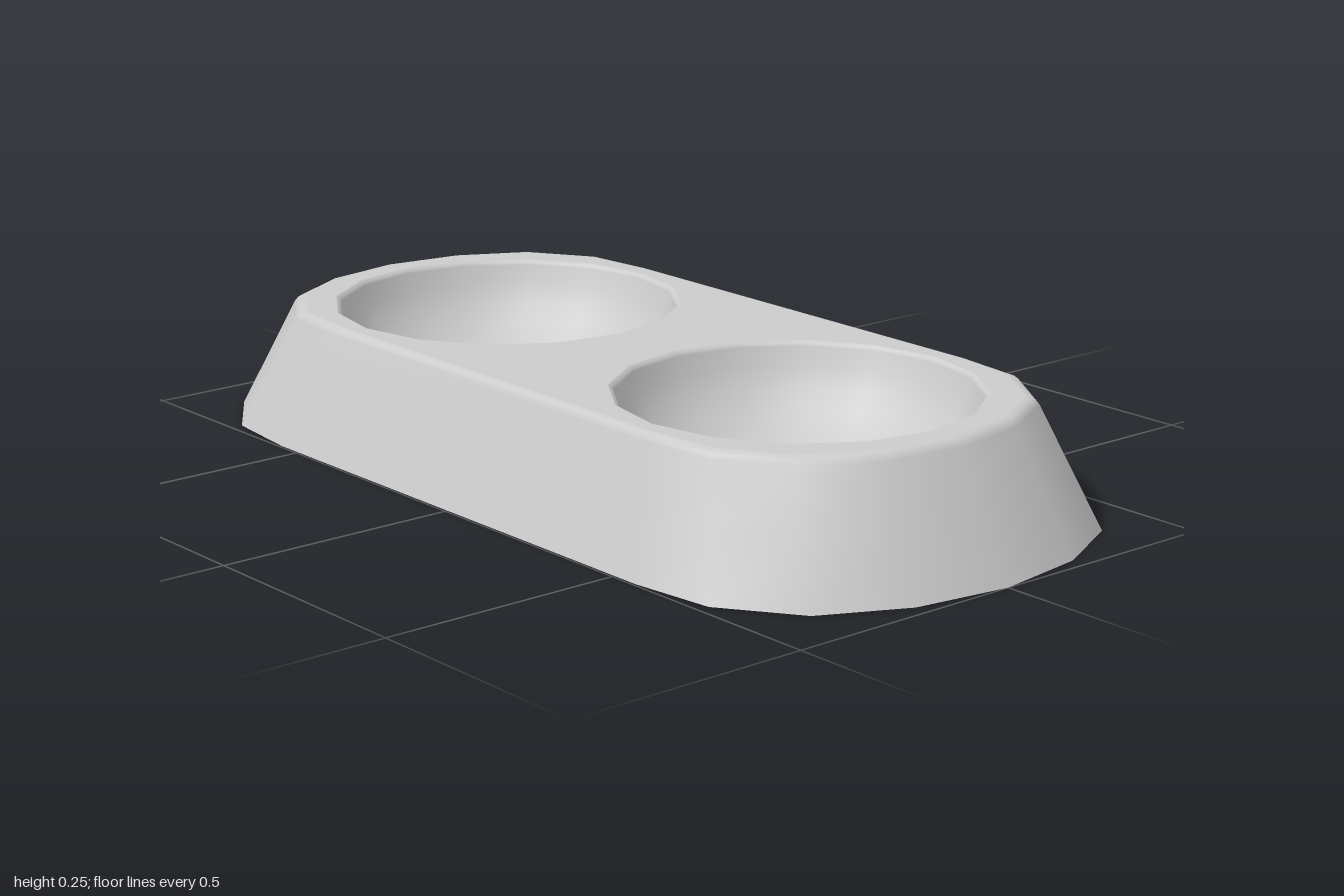
import * as THREE from 'three';

const TOP = 0.247, RIM_R = 0.36, BOWL_R = 0.35, BOWL_Z = 0.445, SIDES = 16;

// Full stadium outline as [x, z], mirrored from one quarter
function outline() {
  const q = [[0, 1], [0.2, 0.97], [0.37, 0.885], [0.475, 0.735], [0.495, 0.56]];
  const half = [...q, ...q.slice().reverse().map(([x, z]) => [x, -z])];
  return [...half, ...half.slice(1, -1).reverse().map(([x, z]) => [-x, z])];
}

// Loft of scaled outlines; each ring is [height, x scale, z scale]
function loft(loop, rings) {
  const pos = [], index = [], n = loop.length;
  for (const [y, sx, sz] of rings) for (const [x, z] of loop) pos.push(x * sx, y, z * sz);
  for (let r = 0; r < rings.length - 1; r++) {
    for (let i = 0; i < n; i++) {
      const a = r * n + i, b = r * n + (i + 1) % n;
      index.push(a, b, b + n, a, b + n, a + n);
    }
  }
  const g = new THREE.BufferGeometry();
  g.setAttribute('position', new THREE.Float32BufferAttribute(pos, 3));
  g.setIndex(index);
  g.computeVertexNormals();
  return g;
}

export function createModel() {
  const group = new THREE.Group();
  const material = new THREE.MeshStandardMaterial({ color: 0xcccccc, side: THREE.DoubleSide });
  const add = (geometry, name) => {
    const mesh = new THREE.Mesh(geometry, material);
    mesh.name = name;
    group.add(mesh);
    return mesh;
  };

  // Sloped skirt, open underneath, with a rounded upper edge
  const loop = outline();
  const rings = [[0, 1, 1], [0.115, 0.915, 0.938], [0.232, 0.829, 0.876],
    [0.24, 0.82, 0.869], [0.245, 0.808, 0.862], [TOP, 0.79, 0.852]];
  add(loft(loop, rings), 'skirt');

  // Flat top with two bowl openings
  const [, sx, sz] = rings[rings.length - 1];
  const shape = new THREE.Shape(loop.map(([x, z]) => new THREE.Vector2(x * sx, -z * sz)));
  for (const s of [1, -1]) {
    const hole = [];
    for (let i = 0; i < SIDES; i++) {
      const a = i / SIDES * Math.PI * 2;
      hole.push(new THREE.Vector2(RIM_R * Math.sin(a), RIM_R * Math.cos(a) + s * BOWL_Z));
    }
    shape.holes.push(new THREE.Path(hole));
  }
  add(new THREE.ShapeGeometry(shape).rotateX(-Math.PI / 2), 'topPlate').position.y = TOP;

  // Bowls: flattened round basins with a small bevelled rim
  const bowlTop = TOP - 0.01, floor = 0.007, edge = 1.4;
  const a = BOWL_R / Math.sin(edge), b = (bowlTop - floor) / (1 - Math.cos(edge));
  const profile = [];
  for (let i = 0; i <= 10; i++) {
    const t = edge * i / 10;
    profile.push(new THREE.Vector2(a * Math.sin(t), floor + b * (1 - Math.cos(t))));
  }
  profile.push(new THREE.Vector2(0.353, TOP - 0.004), new THREE.Vector2(RIM_R, TOP));
  for (const [name, s] of [['frontBowl', 1], ['backBowl', -1]]) {
    add(new THREE.LatheGeometry(profile, SIDES), name).position.z = s * BOWL_Z;
  }
  return group;
}
